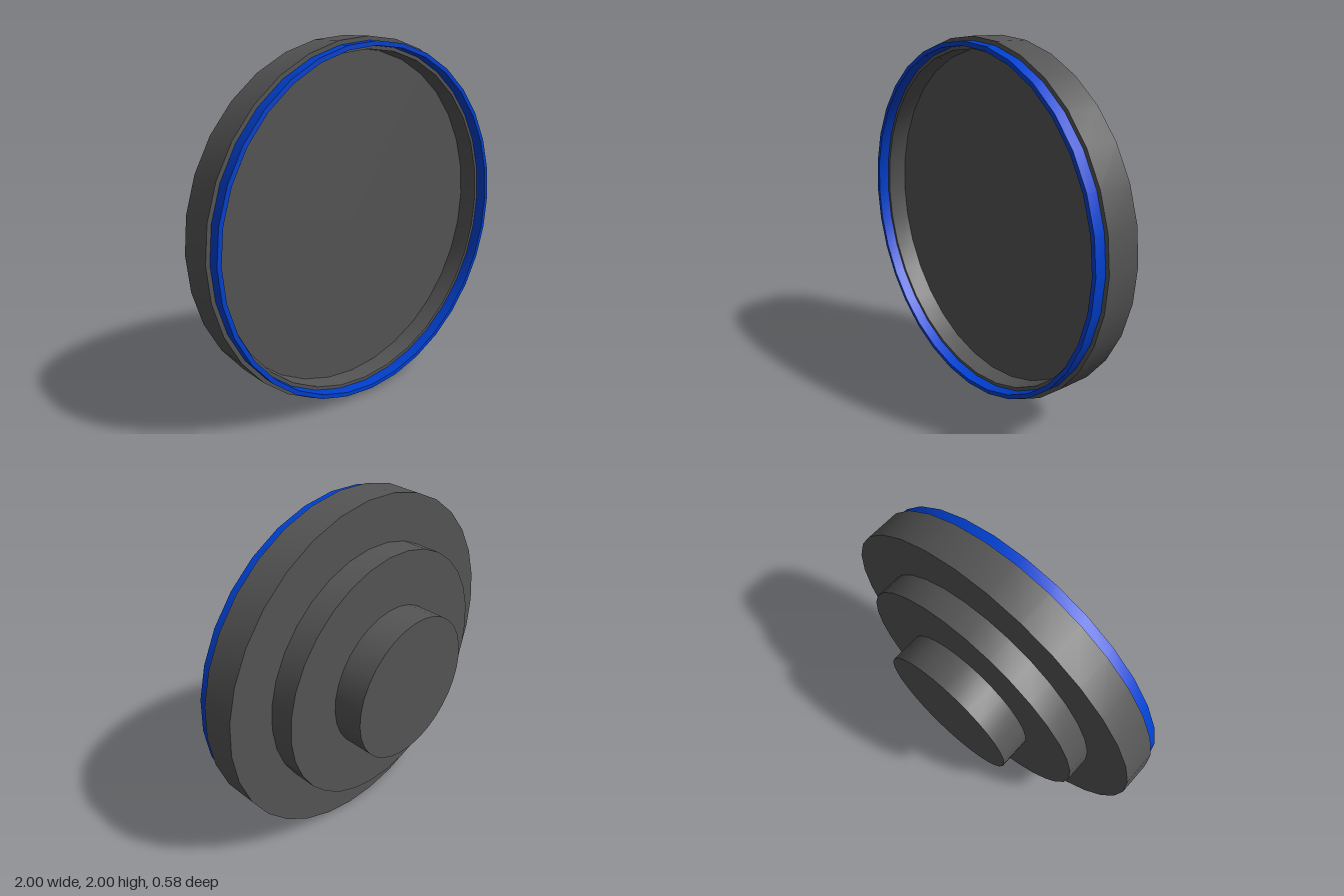
import * as THREE from 'three';
import { toCreasedNormals } from 'three/addons/utils/BufferGeometryUtils.js';

const SIDES = 32;

// Turns a [radius, z] profile around the z axis, keeping profile corners sharp.
function turned(name, profile, material) {
  const points = profile.map(([r, z]) => new THREE.Vector2(r, z));
  const geometry = new THREE.LatheGeometry(points, SIDES).rotateX(Math.PI / 2);
  const mesh = new THREE.Mesh(toCreasedNormals(geometry, Math.PI / 6), material);
  mesh.name = name;
  mesh.position.y = 1;
  return mesh;
}

export function createModel() {
  const group = new THREE.Group();
  group.name = 'steppedDish';
  const dark = new THREE.MeshStandardMaterial({ color: 0x555555 });
  const blue = new THREE.MeshStandardMaterial({ color: 0x0040d0 });

  // Stepped levels along z, from back to front
  const back = -0.288, hubTop = -0.11, stepTop = 0.032, floor = 0.112, rim = 0.225, front = 0.288;

  group.add(
    // Small round hub at the back
    turned('hub', [[0, back], [0.426, back], [0.426, hubTop]], dark),
    // Middle step
    turned('middleStep', [[0, hubTop], [0.738, hubTop], [0.738, stepTop]], dark),
    // Wide dish, hollow towards the front
    turned('dish', [[0, stepTop], [1, stepTop], [1, rim], [0.935, rim], [0.935, floor], [0, floor]], dark),
    // Coloured ring standing on the rim
    turned('rimRing', [[0.978, rim], [0.978, front], [0.954, front], [0.954, rim]], blue)
  );
  return group;
}
